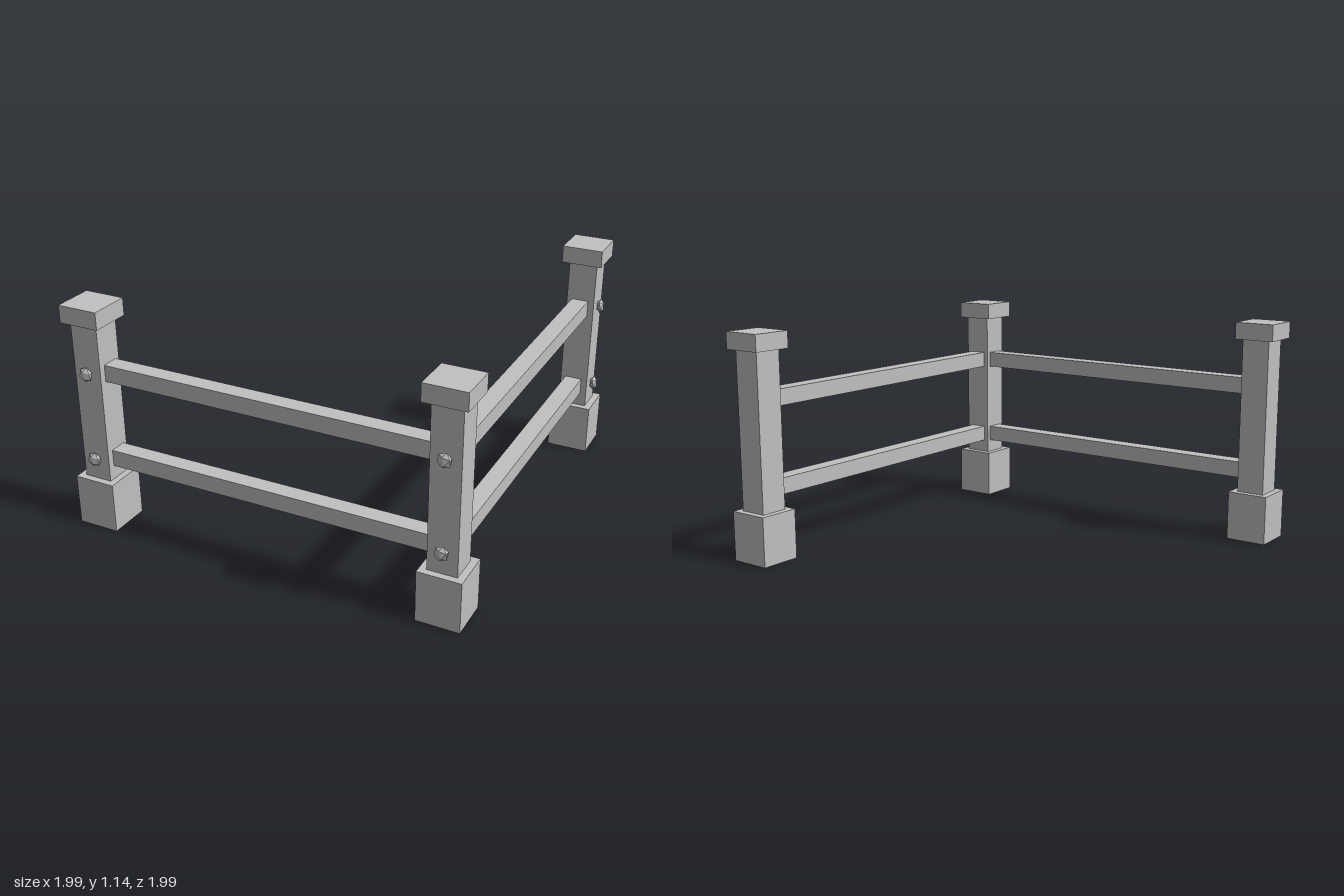
import * as THREE from 'three';

export function createModel() {
  const fence = new THREE.Group();
  fence.name = 'cornerFence';
  const grey = new THREE.MeshStandardMaterial({ color: 0xc0c0c0, flatShading: true });
  grey.name = 'plain grey';

  const add = (parent, name, geometry, x, y, z) => {
    const mesh = new THREE.Mesh(geometry, grey);
    mesh.name = name;
    mesh.position.set(x, y, z);
    parent.add(mesh);
    return mesh;
  };

  const C = 0.892; // post centre distance from the axes
  const RAIL_HEIGHTS = [0.362, 0.806];

  // Faceted bolt head, flattened along z
  const boltGeometry = new THREE.IcosahedronGeometry(0.038, 0);
  boltGeometry.rotateZ(0.3);
  boltGeometry.scale(0.92, 1, 0.52);

  // Posts: footing block, shaft, cap and two bolts on the outward face
  const posts = [
    { name: 'rightPost', x: -C, z: C, side: false },
    { name: 'cornerPost', x: C - 0.002, z: C, side: false },
    { name: 'backPost', x: C - 0.002, z: -C, side: true },
  ];
  for (const { name, x, z, side } of posts) {
    const post = new THREE.Group();
    post.name = name;
    post.position.set(x, 0, z);
    add(post, 'footing', new THREE.BoxGeometry(0.21, 0.252, 0.21), 0, 0.126, 0);
    add(post, 'shaft', new THREE.BoxGeometry(0.143, 0.82, 0.143), 0, 0.65, 0);
    add(post, 'cap', new THREE.BoxGeometry(0.204, 0.086, 0.204), -0.002, 1.093, 0);
    for (const y of RAIL_HEIGHTS) {
      const bolt = add(post, 'bolt', boltGeometry, side ? 0.088 : 0, y, side ? 0 : 0.088);
      if (side) bolt.rotation.y = Math.PI / 2;
    }
    fence.add(post);
  }

  // Two rails along the front and two along the left side
  for (const y of RAIL_HEIGHTS) {
    add(fence, 'frontRail', new THREE.BoxGeometry(1.66, 0.083, 0.086), 0, y, 0.887);
    add(fence, 'sideRail', new THREE.BoxGeometry(0.086, 0.083, 1.66), 0.887, y, 0);
  }
  return fence;
}
